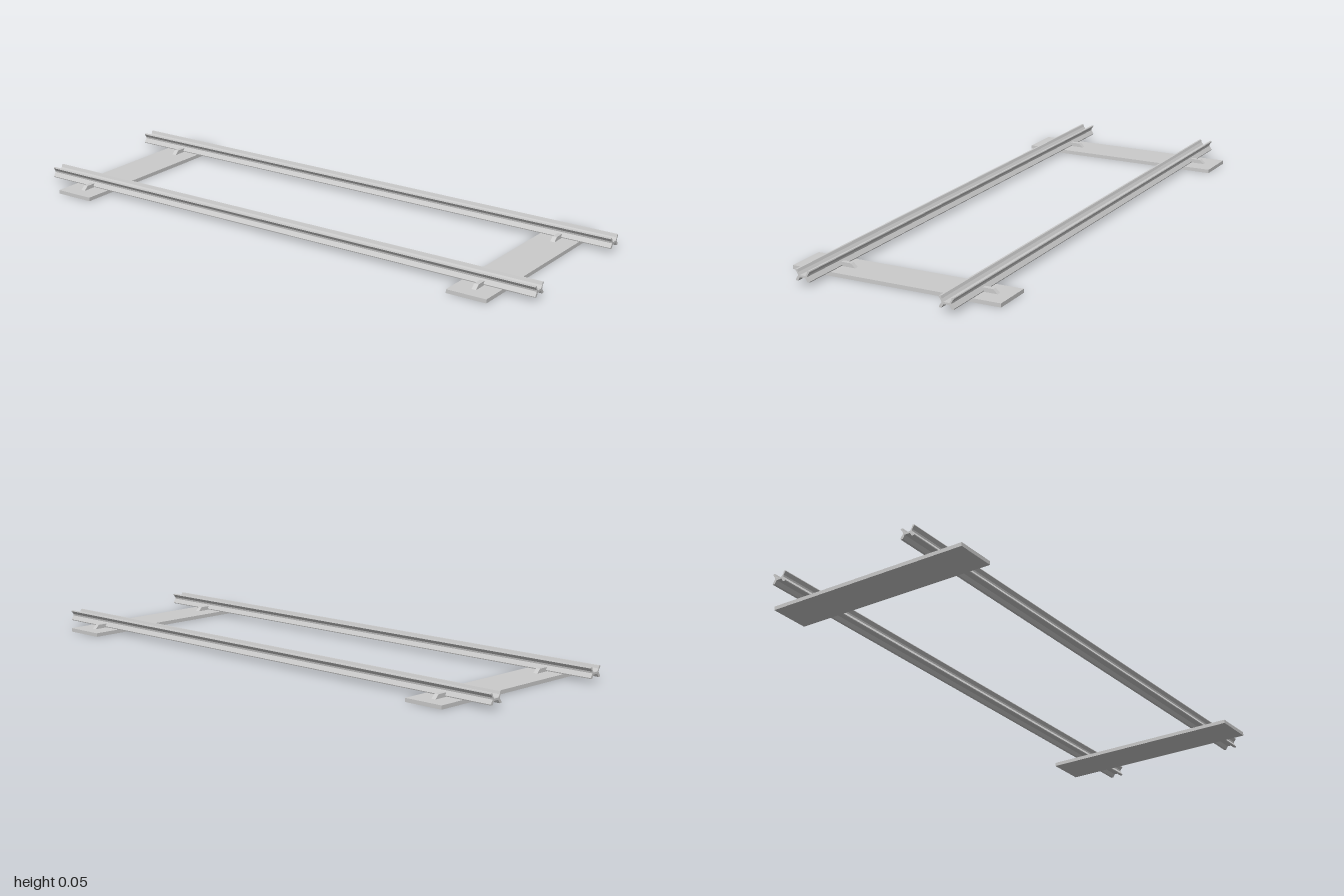
import * as THREE from 'three';

const material = new THREE.MeshStandardMaterial({ color: 0xcccccc, flatShading: true });

// Extrudes a (z, y) outline, mirrored about z = 0, along x and centres it.
function mirroredBar(name, half, length) {
  const mirrored = half.map(([z, y]) => [-z, y]).reverse();
  const shape = new THREE.Shape([...half, ...mirrored].map(([z, y]) => new THREE.Vector2(z, y)));
  const geometry = new THREE.ExtrudeGeometry(shape, { depth: length, bevelEnabled: false });
  geometry.translate(0, 0, -length / 2);
  geometry.rotateY(Math.PI / 2);
  const mesh = new THREE.Mesh(geometry, material);
  mesh.name = name;
  return mesh;
}

// Half outlines, listed counter-clockwise from the bottom up.
const railHalf = [
  [0.01, 0.027], [0.017, 0.015], [0.025, 0.015], [0.026, 0.018], [0.017, 0.032],
  [0.018, 0.038], [0.026, 0.049], [0.025, 0.052], [0.019, 0.052], [0.016, 0.043], [0.010, 0.034],
];
const clipHalf = [[0.072, 0.013], [0.057, 0.027]];

export function createModel() {
  const model = new THREE.Group();
  model.name = 'trackSection';
  const railZ = 0.255;

  // Two long rails with an open channel on top and splayed feet
  for (const side of [1, -1]) {
    const rail = mirroredBar(side > 0 ? 'frontRail' : 'backRail', railHalf, 2);
    rail.position.z = side * railZ;
    model.add(rail);
  }

  // Flat sleepers, each with a thin clip under both rails
  for (const x of [-0.815, 0.81]) {
    const sleeper = new THREE.Group();
    sleeper.name = x > 0 ? 'leftSleeper' : 'rightSleeper';
    sleeper.position.x = x;
    const plate = new THREE.Mesh(new THREE.BoxGeometry(0.145, 0.013, 0.748), material);
    plate.name = 'sleeperPlate';
    plate.position.y = 0.0065;
    sleeper.add(plate);
    for (const side of [1, -1]) {
      const clip = mirroredBar('railClip', clipHalf, 0.016);
      clip.position.z = side * railZ;
      sleeper.add(clip);
    }
    model.add(sleeper);
  }
  return model;
}
